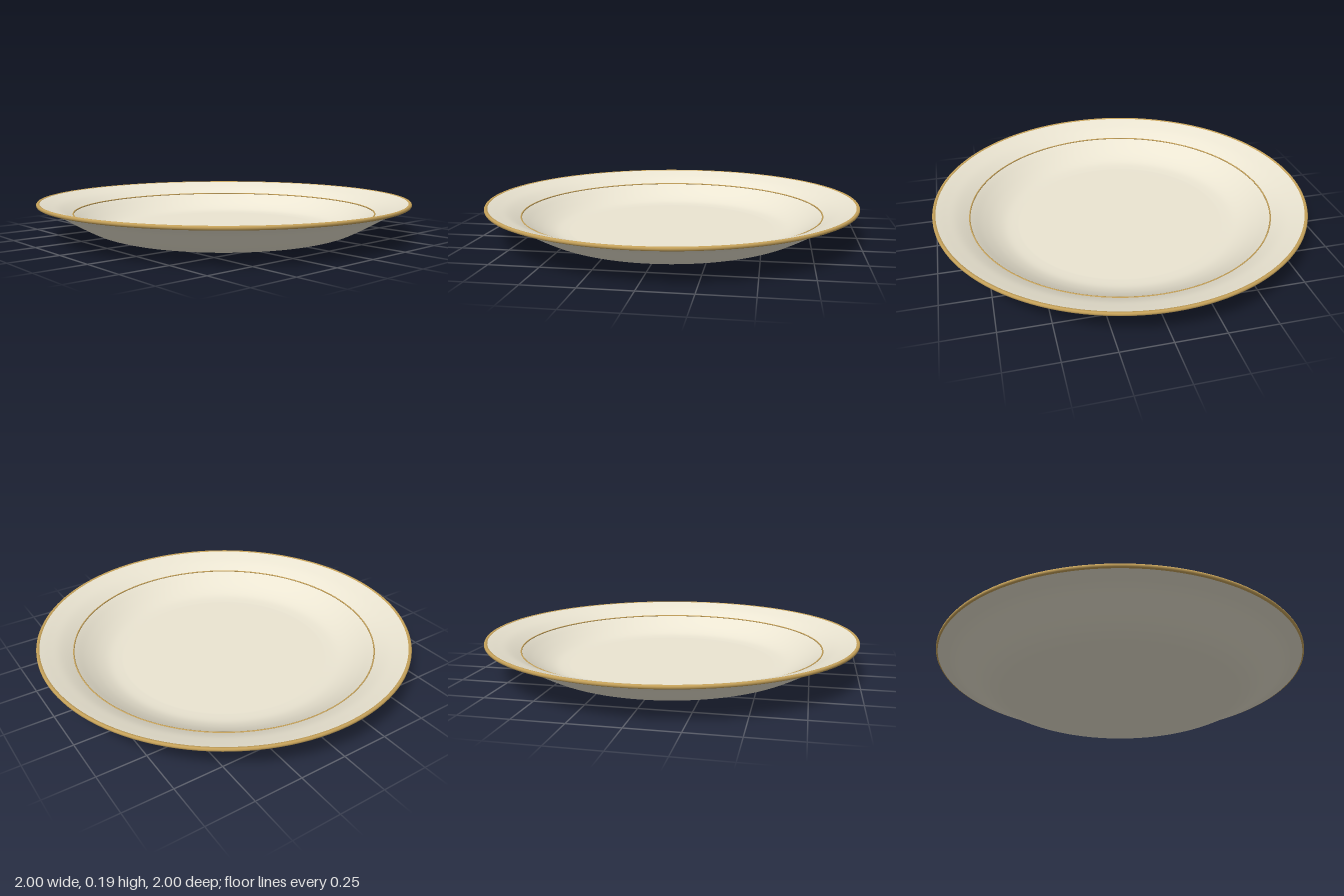
import * as THREE from 'three';

const SEGMENTS = 128;
const v = (x, y) => new THREE.Vector2(x, y);

// Revolve a profile that runs outward below and inward above
function lathe(name, points, material) {
  const mesh = new THREE.Mesh(new THREE.LatheGeometry(points, SEGMENTS), material);
  mesh.name = name;
  return mesh;
}

export function createModel() {
  const plate = new THREE.Group();
  plate.name = 'plate';
  const glaze = new THREE.MeshStandardMaterial({ color: 0xebe5d2 });
  const gilt = new THREE.MeshStandardMaterial({ color: 0xc6a25a });

  // Wall curves from the flat floor up to the rim
  const outer = new THREE.SplineCurve([
    v(0.56, 0), v(0.63, 0.006), v(0.70, 0.026), v(0.76, 0.055),
    v(0.82, 0.089), v(0.90, 0.135), v(0.95, 0.156), v(0.992, 0.171),
  ]);
  const inner = new THREE.SplineCurve([
    v(0.984, 0.187), v(0.94, 0.174), v(0.88, 0.154), v(0.815, 0.122),
    v(0.75, 0.083), v(0.69, 0.053), v(0.63, 0.034), v(0.56, 0.028),
  ]);

  // Dish: underside, wall and floor
  plate.add(lathe('underside', [v(0, 0), v(0.3, 0), ...outer.getPoints(36)], glaze));
  plate.add(lathe('bowl', [...inner.getPoints(36), v(0.3, 0.028), v(0, 0.028)], glaze));

  // Gilt band wrapping the lip
  plate.add(lathe('rimBand', [
    v(0.990, 0.170), v(0.997, 0.173), v(1, 0.178), v(1, 0.184),
    v(0.997, 0.189), v(0.991, 0.190), v(0.985, 0.188), v(0.982, 0.186),
  ], gilt));

  // Thin gilt line on the inner wall
  const line = new THREE.Mesh(new THREE.TorusGeometry(0.815, 0.004, 8, SEGMENTS), gilt);
  line.name = 'innerLine';
  line.rotation.x = Math.PI / 2;
  line.position.y = 0.123;
  plate.add(line);

  return plate;
}
